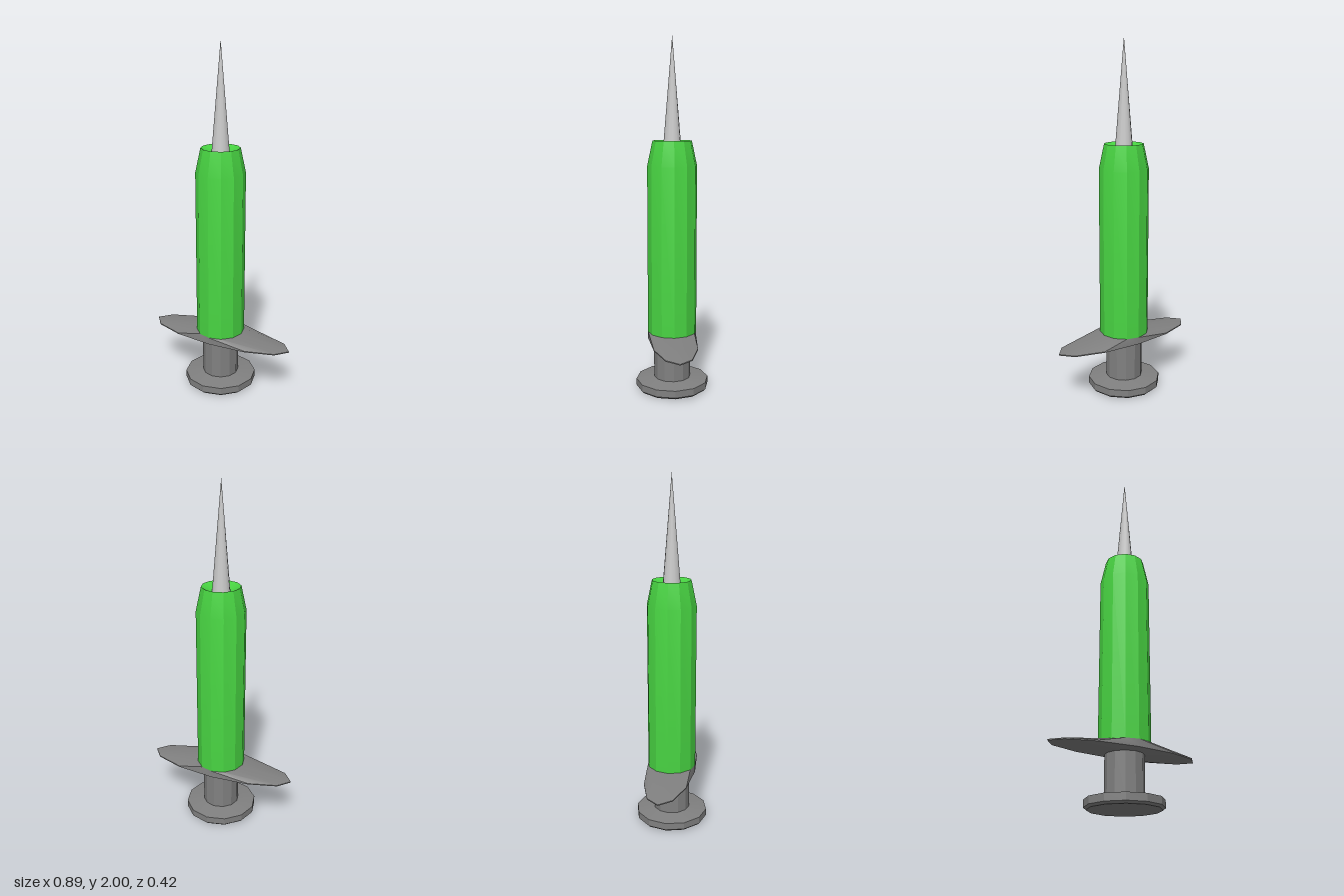
import * as THREE from 'three';
import { toCreasedNormals } from 'three/addons/utils/BufferGeometryUtils.js';

const SIDES = 12;

// Turned shape from [radius, y] pairs listed from bottom to top
function turned(profile, sides = SIDES) {
  return new THREE.LatheGeometry(profile.map(([r, y]) => new THREE.Vector2(r, y)), sides);
}

function part(name, geometry, color) {
  const material = new THREE.MeshStandardMaterial({ color });
  const mesh = new THREE.Mesh(geometry, material);
  mesh.name = name;
  return mesh;
}

export function createModel() {
  const group = new THREE.Group();
  group.name = 'syringe';
  const crease = 0.5; // keeps the twelve sides faceted
  const darkGrey = 0x808080;

  // Plunger: thumb disc with bevelled edges and a straight rod
  const plunger = turned([
    [0, 0], [0.195, 0], [0.208, 0.012], [0.208, 0.052],
    [0.105, 0.065], [0.105, 0.29],
  ]);
  group.add(part('plunger', toCreasedNormals(plunger, crease), darkGrey));

  // Finger flange: round collar whose thin rim is stretched sideways
  const flange = turned([[0.105, 0.28], [0.14, 0.294], [0.14, 0.3], [0.14, 0.335], [0, 0.335]]);
  const pos = flange.attributes.position;
  for (let i = 0; i < pos.count; i++) {
    const y = pos.getY(i);
    if (y > 0.29 && y < 0.31) pos.setX(i, pos.getX(i) * 0.445 / 0.14);
  }
  group.add(part('fingerFlange', toCreasedNormals(flange, crease), darkGrey));

  // Barrel: tapered shoulder and a shallow dish around the needle
  const barrel = turned([
    [0.14, 0.335], [0.14, 1.29], [0.11, 1.43], [0.045, 1.4], [0, 1.4],
  ]);
  group.add(part('barrel', toCreasedNormals(barrel, crease), 0x48d442));

  // Needle: slim smooth cone
  const needle = turned([[0.05, 1.4], [0, 2]]);
  group.add(part('needle', needle, 0xcccccc));

  return group;
}
